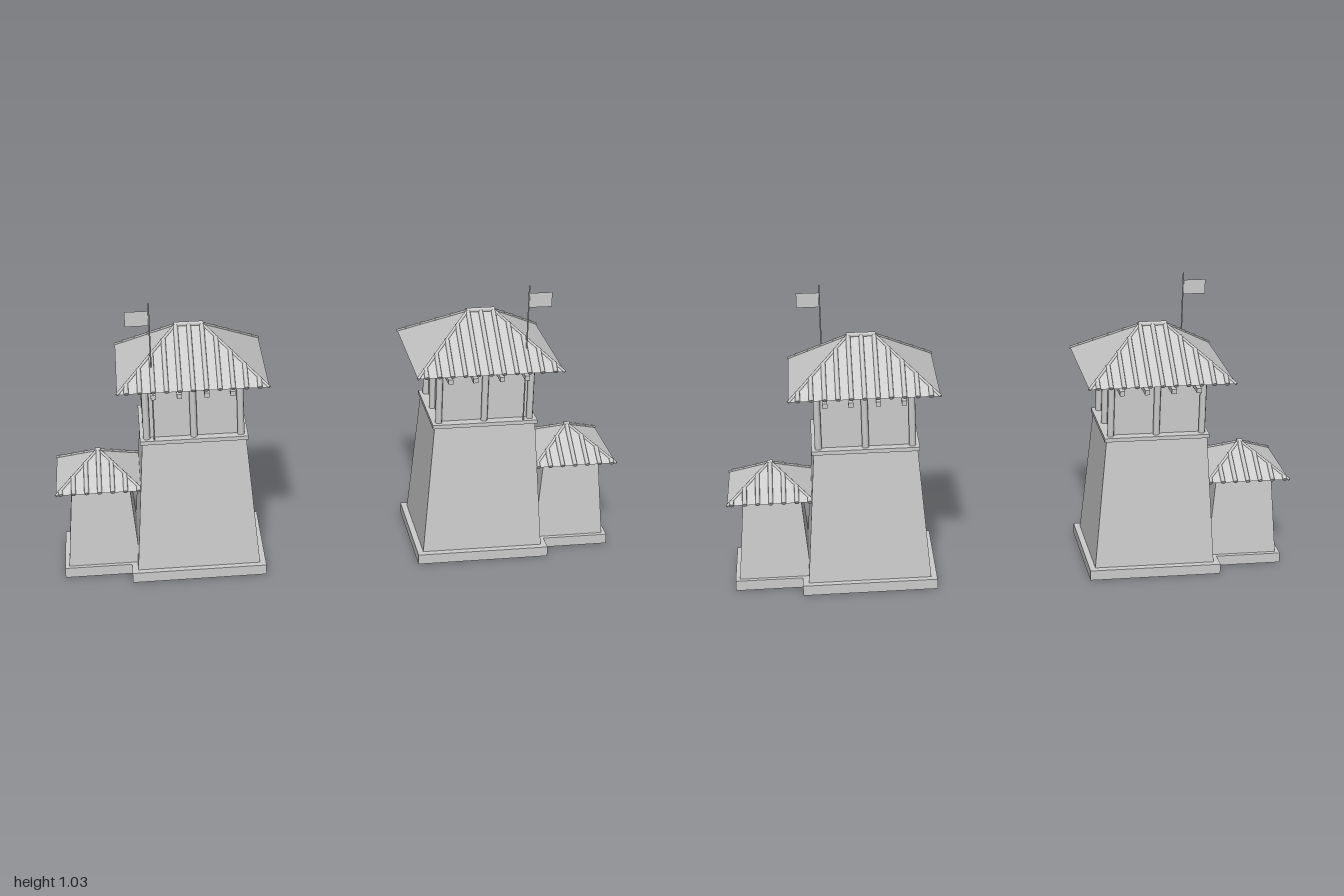
import * as THREE from 'three';

const grey = new THREE.MeshStandardMaterial({ color: 0xcccccc, side: THREE.DoubleSide });
grey.name = 'light grey';

function add(parent, name, geometry, x = 0, y = 0, z = 0) {
  const mesh = new THREE.Mesh(geometry, grey);
  mesh.name = name;
  mesh.position.set(x, y, z);
  parent.add(mesh);
  return mesh;
}

// Box standing on y = 0, narrowing from bottom to top half sizes; optionally open underneath
function tapered(bx, bz, tx, tz, h, open = false) {
  const g = new THREE.BoxGeometry(2, h, 2).translate(0, h / 2, 0);
  const p = g.attributes.position;
  for (let i = 0; i < p.count; i++) {
    const top = p.getY(i) > h / 2;
    p.setX(i, p.getX(i) * (top ? tx : bx));
    p.setZ(i, p.getZ(i) * (top ? tz : bz));
  }
  if (open) {
    const index = Array.from(g.index.array);
    index.splice(18, 6); // the downward face
    g.setIndex(index);
    g.clearGroups();
  }
  g.computeVertexNormals();
  return g;
}

// Round rod between two points
function rod(parent, name, a, b, r) {
  const d = b.clone().sub(a);
  const mesh = add(parent, name, new THREE.CylinderGeometry(r, r, d.length(), 8));
  mesh.position.copy(a).add(b).multiplyScalar(0.5);
  mesh.quaternion.setFromUnitVectors(new THREE.Vector3(0, 1, 0), d.normalize());
}

// Hollow hipped roof with ribs on the front and back slopes
function hipRoof(hx, hz, ridge, h, ribs) {
  const roof = new THREE.Group();
  const V = (x, y, z) => new THREE.Vector3(x, y, z);
  const [a, b, c, d] = [V(-hx, 0, hz), V(hx, 0, hz), V(hx, 0, -hz), V(-hx, 0, -hz)];
  const [l, r] = [V(-ridge, h, 0), V(ridge, h, 0)];
  const g = new THREE.BufferGeometry().setFromPoints(
    [a, b, r, a, r, l, b, c, r, c, d, l, c, l, r, d, a, l]);
  g.computeVertexNormals();
  add(roof, 'roofSlopes', g);

  const step = 0.045;
  for (const s of [1, -1]) {
    for (let k = -ribs; k <= ribs; k++) {
      const x = k * step;
      const t = Math.max(0, (Math.abs(x) - ridge) / (hx - ridge)); // where the rib meets the hip
      rod(roof, 'roofRib', V(x, 0, s * hz), V(x, h * (1 - t), s * hz * t), 0.008);
    }
  }
  for (const [corner, end] of [[a, l], [b, r], [c, r], [d, l]]) rod(roof, 'hipRoll', corner, end, 0.005);
  rod(roof, 'ridgeRoll', V(-ridge - 0.006, h, 0), V(ridge + 0.006, h, 0), 0.009);
  return roof;
}

// One tower; side is +1 or -1 and points away from the middle
function tower(side) {
  const t = new THREE.Group();
  t.name = side > 0 ? 'leftTower' : 'rightTower';
  const cx = side * 0.511;

  // Main body
  add(t, 'plinth', tapered(0.237, 0.203, 0.237, 0.203, 0.037, true), cx);
  add(t, 'towerBody', tapered(0.216, 0.18, 0.18, 0.146, 0.475), cx, 0.037);
  add(t, 'ledge', tapered(0.187, 0.153, 0.187, 0.153, 0.014), cx, 0.511);

  // Lookout room with posts, top plate and joists
  add(t, 'roomWalls', tapered(0.155, 0.12, 0.155, 0.12, 0.19), cx, 0.525);
  for (const i of [-1, 0, 1]) {
    for (const j of [-1, 0, 1]) {
      if (!i && !j) continue;
      add(t, 'post', new THREE.CylinderGeometry(0.012, 0.012, 0.187, 8),
        cx + i * 0.163, 0.6185, j * 0.128);
    }
  }
  add(t, 'topPlate', tapered(0.178, 0.143, 0.178, 0.143, 0.025), cx, 0.712);
  for (const x of [-0.135, -0.047, 0.047, 0.135]) {
    add(t, 'joist', new THREE.BoxGeometry(0.017, 0.017, 0.376), cx + x, 0.704, 0);
  }
  const roof = hipRoof(0.257, 0.222, 0.045, 0.155, 5);
  roof.name = 'mainRoof';
  roof.position.set(cx, 0.737, 0);
  t.add(roof);

  // Flag
  const px = side * 0.648;
  add(t, 'flagPole', new THREE.CylinderGeometry(0.0025, 0.0025, 0.505, 8), px, 0.7775, 0.145);
  add(t, 'flag', new THREE.PlaneGeometry(0.08, 0.053), px + side * 0.041, 0.976, 0.145);

  // Side annex
  const ax = side * 0.843;
  add(t, 'annexPlinth', tapered(0.141, 0.137, 0.141, 0.137, 0.037, true), ax);
  add(t, 'annexBody', tapered(0.126, 0.122, 0.1, 0.102, 0.3), ax, 0.037);
  const small = hipRoof(0.151, 0.153, 0.004, 0.094, 3);
  small.name = 'annexRoof';
  small.position.set(side * 0.846, 0.336, 0);
  t.add(small);
  return t;
}

export function createModel() {
  const model = new THREE.Group();
  model.name = 'twinWatchtowers';
  model.add(tower(1), tower(-1));
  return model;
}
